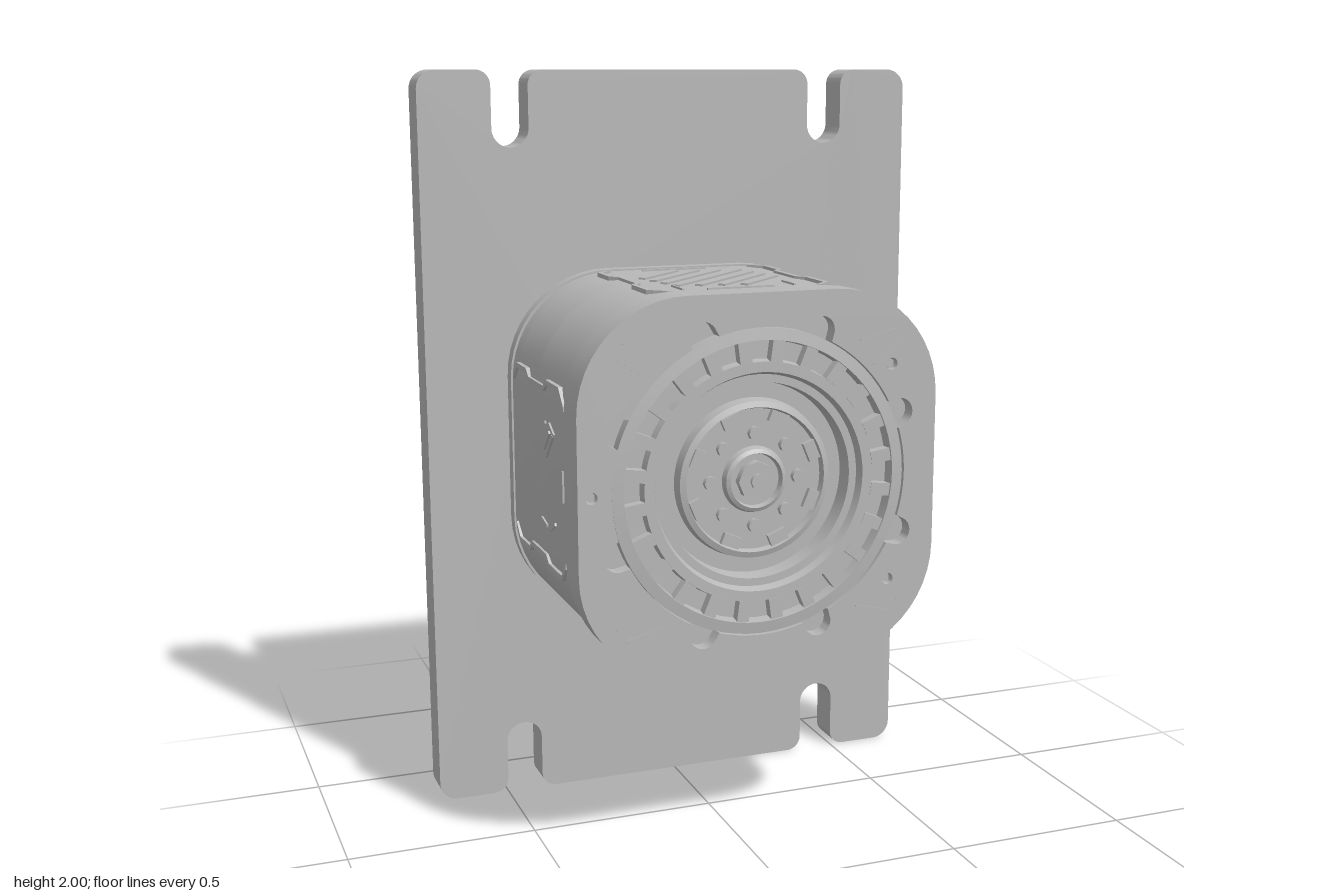
import * as THREE from 'three';
import { toCreasedNormals } from 'three/addons/utils/BufferGeometryUtils.js';

const grey = new THREE.MeshStandardMaterial({ color: 0xb8b8b8 });
grey.name = 'grey';

function add(parent, name, geometry, x = 0, y = 0, z = 0) {
  const m = new THREE.Mesh(geometry, grey);
  m.name = name;
  m.position.set(x, y, z);
  parent.add(m);
  return m;
}

// Closed shape from corners [x, y, radius], each rounded with a circular arc
function roundPoly(corners) {
  const shape = new THREE.Shape();
  const n = corners.length;
  corners.forEach(([x, y, r], i) => {
    const p = new THREE.Vector2(x, y);
    const toward = (q) => p.clone().add(new THREE.Vector2(q[0] - x, q[1] - y).setLength(r));
    const a = toward(corners[(i + n - 1) % n]);
    const b = toward(corners[(i + 1) % n]);
    if (i === 0) shape.moveTo(a.x, a.y);
    else shape.lineTo(a.x, a.y);
    if (r > 0) {
      const c = a.clone().lerp(p, 0.5523), d = b.clone().lerp(p, 0.5523);
      shape.bezierCurveTo(c.x, c.y, d.x, d.y, b.x, b.y);
    }
  });
  shape.closePath();
  return shape;
}

function extrude(shape, z0, z1) {
  const g = new THREE.ExtrudeGeometry(shape, { depth: z1 - z0, bevelEnabled: false, curveSegments: 12 });
  g.translate(0, 0, z0);
  return toCreasedNormals(g, 0.5);
}

// Turned surface facing +z, profile [radius, z] from outside to inside
function turned(profile, segments = 72) {
  const g = new THREE.LatheGeometry(profile.map(([r, z]) => new THREE.Vector2(r, z)), segments);
  g.rotateX(Math.PI / 2);
  return toCreasedNormals(g, 0.4);
}

function cylinderZ(r, depth, sides = 16) {
  return new THREE.CylinderGeometry(r, r, depth, sides).rotateX(Math.PI / 2);
}

function circleHole(x, y, r) {
  return new THREE.Path().absarc(x, y, r, 0, Math.PI * 2, true);
}

// Rounded square housing section, optionally notched on its +x side
function housing(s, notch) {
  const r = 0.28;
  const pts = [[-s, -s, r], [s, -s, r]];
  if (notch) pts.push([s, -0.11, 0], [0.33, -0.11, 0], [0.33, 0.11, 0], [s, 0.11, 0]);
  pts.push([s, s, r], [-s, s, r]);
  return roundPoly(pts);
}

// Recess outline: a circle with eight round lobes
function lobedHole() {
  const pts = [], d = 0.405, rho = 0.036;
  for (let i = 0; i < 384; i++) {
    const t = (i / 384) * Math.PI * 2;
    const phi = (i % 48) / 48 * (Math.PI / 4) - Math.PI / 8;
    const q = rho * rho - (d * Math.sin(phi)) ** 2;
    const r = q > 0 ? Math.max(0.39, d * Math.cos(phi) + Math.sqrt(q)) : 0.39;
    pts.push(new THREE.Vector2(r * Math.cos(t), r * Math.sin(t)));
  }
  return new THREE.Path(pts);
}

// Panel trim for the +x side; length runs along -z, width along y
function sidePanel(index) {
  const panel = new THREE.Group();
  panel.name = 'sidePanel';
  const face = new THREE.Group();
  face.rotation.y = Math.PI / 2;
  panel.add(face);
  const line = [[-0.255, 0.205], [-0.215, 0.245], [-0.1, 0.245], [-0.075, 0.226],
    [0.065, 0.226], [0.09, 0.245], [0.185, 0.245], [0.22, 0.21]];
  for (const s of [1, -1]) {
    const outer = line.map(([l, t]) => [l, t * s, 0]);
    const inner = line.map(([l, t]) => [l, (t - 0.014) * s, 0]).reverse();
    add(face, 'panelBracket', extrude(roundPoly([...outer, ...inner]), 0.45, 0.473));
  }
  const bar = (l, t, len, w, angle) => {
    add(face, 'panelBar', new THREE.BoxGeometry(len, w, 0.01), l, t, 0.468).rotation.z = angle;
  };
  if (index % 2) {
    // Diagonal louvres
    for (let k = -3; k <= 3; k++) {
      const o = k * 0.034;
      bar(o, o, 0.4 - Math.abs(k) * 0.066, 0.02, -Math.PI / 4);
    }
    bar(-0.23, 0, 0.006, 0.18, 0);
    bar(0.21, 0.02, 0.006, 0.18, 0);
    for (const t of [-0.15, 0.15]) bar(-0.18, t, 0.08, 0.006, 0);
  } else {
    // Short dashes and slashes
    bar(-0.235, 0, 0.006, 0.08, 0);
    for (const s of [-1, 1]) {
      bar(-0.14, 0.125 * s, 0.05, 0.008, 0.5 * s);
      bar(-0.06, 0.13 * s, 0.05, 0.008, -0.2 * s);
    }
    bar(-0.12, -0.08, 0.09, 0.009, Math.PI / 4);
    bar(-0.095, -0.09, 0.07, 0.009, Math.PI / 4);
  }
  panel.rotation.z = index * Math.PI / 2;
  return panel;
}

export function createModel() {
  const model = new THREE.Group();
  model.name = 'wallMountedUnit';
  const unit = new THREE.Group();
  unit.name = 'unit';
  unit.position.y = 1;
  model.add(unit);

  // Mounting plate with four open slots and four countersunk screw holes
  const half = [[0.695, 1, 0.05], [0.5, 1, 0.04], [0.5, 0.8, 0.05], [0.4, 0.8, 0.05], [0.4, 1, 0.04]];
  const flip = (sx, sy) => half.map(([x, y, r]) => [x * sx, y * sy, r]);
  const plate = roundPoly([...flip(1, 1), ...flip(-1, 1).reverse(), ...flip(-1, -1), ...flip(1, -1).reverse()]);
  for (const x of [-0.34, 0.34]) {
    for (const y of [-0.34, 0.34]) {
      plate.holes.push(circleHole(x, y, 0.03));
      add(unit, 'screw', cylinderZ(0.03, 0.07), x, y, -0.315);
      add(unit, 'screwHead', cylinderZ(0.016, 0.02, 6), x, y, -0.357);
    }
  }
  add(unit, 'mountingPlate', extrude(plate, -0.375, -0.28));

  // Housing sections, with a connector window cut in the left side
  add(unit, 'housingRear', extrude(housing(0.473), -0.28, -0.245));
  add(unit, 'housingBack', extrude(housing(0.468), -0.245, -0.2));
  add(unit, 'housingWindow', extrude(housing(0.468, true), -0.2, 0));
  add(unit, 'housingMiddle', extrude(housing(0.468), 0, 0.26));
  add(unit, 'connector', new THREE.BoxGeometry(0.08, 0.15, 0.04), 0.36, 0.005, -0.09);
  for (const y of [-0.06, 0, 0.06]) {
    add(unit, 'connectorPin', new THREE.BoxGeometry(0.09, 0.025, 0.06), 0.36, y, -0.09);
  }
  for (let i = 0; i < 4; i++) unit.add(sidePanel(i));

  // Front bezel with the lobed recess and small screw holes
  const smallHoles = [[0.35, 0.28], [0.35, -0.28], [-0.44, 0]];
  const collar = housing(0.472);
  collar.holes.push(lobedHole());
  add(unit, 'bezelCollar', extrude(collar, 0.26, 0.295));
  const bezel = housing(0.475);
  bezel.holes.push(lobedHole());
  smallHoles.forEach(([x, y]) => bezel.holes.push(circleHole(x, y, 0.015)));
  add(unit, 'bezel', extrude(bezel, 0.295, 0.375));
  smallHoles.forEach(([x, y]) => add(unit, 'bezelScrew', cylinderZ(0.013, 0.06, 6), x, y, 0.33));

  // Corner accents on the bezel
  for (const sx of [-1, 1]) {
    for (const sy of [-1, 1]) {
      [[0.31, 0.355, 0.25], [0.34, 0.31, 0.6]].forEach(([x, y, a]) => {
        add(unit, 'bezelAccent', new THREE.BoxGeometry(0.1, 0.006, 0.006), x * sx, y * sy, 0.374)
          .rotation.z = a * sx * sy;
      });
    }
  }

  // Turned ring, toothed channel, deep bowl and hub
  add(unit, 'lobeFloor', turned([[0.45, 0.335], [0.37, 0.335]]));
  add(unit, 'ringAndBowl', turned([
    [0.388, 0.335], [0.388, 0.368], [0.358, 0.372], [0.354, 0.34], [0.308, 0.34], [0.304, 0.366],
    [0.278, 0.366], [0.27, 0.345], [0.25, 0.345], [0.245, 0.3], [0.205, 0.3], [0.2, 0.33],
    [0.185, 0.335], [0.18, 0.318], [0.085, 0.318], [0.08, 0.335], [0.07, 0.34], [0.066, 0.322], [0, 0.322]]));
  add(unit, 'hubCap', cylinderZ(0.05, 0.03, 8), 0, 0, 0.33);
  add(unit, 'hubPin', cylinderZ(0.02, 0.02, 8), 0, 0, 0.345);

  // Teeth dividing the channel
  for (let i = 0; i < 24; i++) {
    const a = ((i + 0.5) / 24) * Math.PI * 2;
    add(unit, 'channelTooth', new THREE.BoxGeometry(0.054, 0.032, 0.04),
      0.331 * Math.cos(a), 0.331 * Math.sin(a), 0.347).rotation.z = a;
  }

  // Hub bolts and outer tabs
  for (let i = 0; i < 8; i++) {
    const a = (i / 8) * Math.PI * 2;
    add(unit, 'hubBolt', cylinderZ(0.018, 0.025, 8), 0.118 * Math.cos(a), 0.118 * Math.sin(a), 0.322);
    const b = a + Math.PI / 8;
    add(unit, 'hubTab', new THREE.BoxGeometry(0.03, 0.05, 0.02),
      0.165 * Math.cos(b), 0.165 * Math.sin(b), 0.322).rotation.z = b;
  }
  return model;
}
